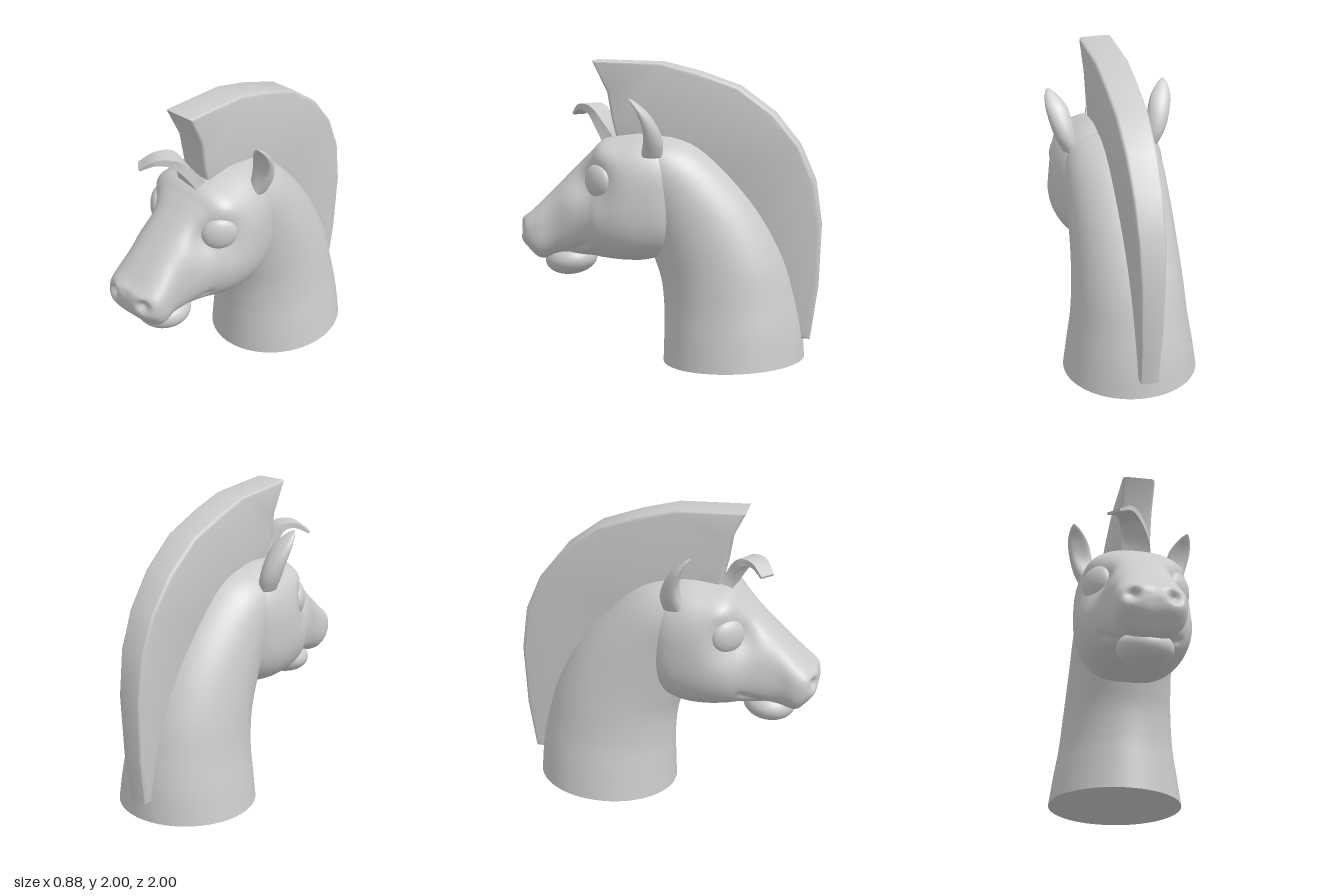
import * as THREE from 'three';
import { toCreasedNormals } from 'three/addons/utils/BufferGeometryUtils.js';

const material = new THREE.MeshStandardMaterial({ color: 0xcccccc, roughness: 0.8 });
const V = (x, y, z) => new THREE.Vector3(x, y, z);

// Catmull-Rom blend of rows of numbers, t in 0..1
function blend(keys, t) {
  const f = t * (keys.length - 1), i = Math.min(Math.floor(f), keys.length - 2), s = f - i;
  const row = (k) => keys[Math.max(0, Math.min(keys.length - 1, k))];
  return keys[i].map((b, c) => {
    const a = row(i - 1)[c], d = row(i + 1)[c], e = row(i + 2)[c];
    return b + 0.5 * s * (d - a + s * (2 * a - 5 * b + 4 * d - e + s * (3 * (b - d) + e - a)));
  });
}

// Closed skin over rings; point(t, angle) turns counter-clockwise about the path
function loft(rings, sides, point, crease = 0.9) {
  const pos = [], index = [];
  for (let i = 0; i <= rings; i++) {
    for (let j = 0; j < sides; j++) pos.push(...point(i / rings, (j / sides) * Math.PI * 2).toArray());
  }
  for (let i = 0; i < rings; i++) {
    for (let j = 0; j < sides; j++) {
      const a = i * sides + j, b = i * sides + (j + 1) % sides;
      index.push(a, b, a + sides, b, b + sides, a + sides);
    }
  }
  // end caps
  for (const end of [0, rings]) {
    const mid = V(0, 0, 0), c = pos.length / 3;
    for (let j = 0; j < sides; j++) {
      const k = (end * sides + j) * 3;
      mid.add(V(pos[k], pos[k + 1], pos[k + 2]));
    }
    pos.push(...mid.divideScalar(sides).toArray());
    for (let j = 0; j < sides; j++) {
      const a = end * sides + j, b = end * sides + (j + 1) % sides;
      if (end) index.push(c, a, b);
      else index.push(c, b, a);
    }
  }
  const geo = new THREE.BufferGeometry();
  geo.setAttribute('position', new THREE.Float32BufferAttribute(pos, 3));
  geo.setIndex(index);
  geo.computeVertexNormals();
  return toCreasedNormals(geo, crease);
}

// Neck rings: front z, front y, back z, back y, half width
const NECK = [
  [0.05, 0, -0.89, 0.045, 0.44], [0.045, 0.2, -0.872, 0.25, 0.41],
  [0.045, 0.36, -0.83, 0.46, 0.38], [0.065, 0.55, -0.755, 0.72, 0.36],
  [0.12, 0.72, -0.61, 1.0, 0.345], [0.2, 0.95, -0.42, 1.24, 0.335],
  [0.27, 1.15, -0.2, 1.44, 0.32], [0.3, 1.3, 0, 1.515, 0.26], [0.28, 1.4, 0.15, 1.5, 0.08],
];
function neckGeometry() {
  return loft(48, 64, (t, a) => {
    const [fz, fy, bz, by, w] = blend(NECK, t), c = Math.cos(a);
    return V(w * Math.sin(a), (fy + by) / 2 + c * (fy - by) / 2, (fz + bz) / 2 + c * (fz - bz) / 2);
  });
}

// Head sections: z, top y, bottom y, half width
const HEAD = [
  [-0.1, 1.3, 0.95, 0.12], [-0.06, 1.43, 0.82, 0.27], [0.02, 1.505, 0.73, 0.34],
  [0.15, 1.53, 0.685, 0.375], [0.3, 1.515, 0.68, 0.385], [0.43, 1.49, 0.69, 0.36],
  [0.51, 1.42, 0.7, 0.315], [0.6, 1.33, 0.7, 0.27], [0.75, 1.18, 0.69, 0.222],
  [0.87, 1.06, 0.67, 0.225], [0.94, 0.99, 0.73, 0.205], [0.985, 0.955, 0.79, 0.15],
  [1.0, 0.92, 0.85, 0.06],
];
function headGeometry() {
  const bell = (d, r) => Math.exp(-(d * d) / (r * r));
  const mouth = new THREE.Line3(V(0, 0.69, 0.76), V(0, 0.81, 0.53));
  const near = V(0, 0, 0);
  return loft(110, 112, (t, a) => {
    const [z, top, bottom, w] = blend(HEAD, t);
    const power = (v) => Math.sign(v) * Math.pow(Math.abs(v), 0.76);
    const side = power(Math.cos(a));
    const p = V(w * side, (top + bottom) / 2 + power(Math.sin(a)) * (top - bottom) / 2, z);
    // eye socket, brow and mouth corner
    const flat = V(0, p.y, p.z);
    mouth.closestPointToPoint(flat, true, near);
    p.x -= side * (0.09 * bell(Math.hypot(p.y - 1.22, z - 0.5), 0.14)
      - 0.025 * bell(Math.hypot(p.y - 1.42, z - 0.4), 0.09)
      + 0.022 * bell(near.distanceTo(flat), 0.025));
    // nostril with raised rim
    const d = Math.hypot(Math.abs(p.x) - 0.13, p.y - 0.885, (z - 0.96) * 0.7);
    const push = 0.065 * bell(d, 0.042) - 0.02 * bell(d, 0.09);
    p.z -= push;
    p.x -= side * push * 0.4;
    return p;
  }, 1.2);
}

// Ear rings: x, y, z, radius across, radius deep
const EAR = [
  [0.27, 1.39, 0.09, 0.055, 0.07], [0.3, 1.48, 0.085, 0.068, 0.078], [0.325, 1.58, 0.1, 0.074, 0.066],
  [0.35, 1.68, 0.14, 0.068, 0.044], [0.375, 1.75, 0.19, 0.034, 0.02], [0.387, 1.775, 0.215, 0.005, 0.004],
];
function earGeometry(side) {
  return loft(28, 32, (t, a) => {
    const [x, y, z, rx, rz] = blend(EAR, t), c = Math.cos(a), s = Math.sin(a);
    // shallow cup on the front
    const cup = c > 0 ? 1 - 0.6 * c * Math.sin(Math.PI * t) : 1;
    return V(side * x + rx * s, y, z + rz * c * cup);
  }, 1.3);
}

// Forelock: a flat strip that twists and tapers towards its tip
function forelockGeometry() {
  const path = new THREE.CatmullRomCurve3([
    V(0.0, 1.43, 0.38), V(-0.005, 1.56, 0.44), V(-0.055, 1.665, 0.515),
    V(-0.115, 1.68, 0.6), V(-0.195, 1.625, 0.67),
  ]);
  return loft(24, 4, (t, a) => {
    const k = Math.min(1, t * 1.6);
    const across = V(1 - 0.3 * k, 0, 0.65 * k).normalize();
    const out = across.clone().cross(path.getTangent(t)).normalize();
    const q = a + Math.PI / 4;
    return path.getPoint(t)
      .addScaledVector(out, Math.sign(Math.cos(q)) * (0.045 - 0.037 * t))
      .addScaledVector(across, Math.sign(Math.sin(q)) * (0.095 - 0.045 * t));
  }, 0.6);
}

// Mane: side outline (z, y) extruded across, narrowing downwards
function maneGeometry() {
  const outline = [
    [0.49, 1.98], [0.06, 1.965], [-0.18, 1.905], [-0.44, 1.815], [-0.665, 1.65], [-0.83, 1.445],
    [-0.93, 1.215], [-0.97, 0.93], [-0.955, 0.52], [-0.91, 0.2], [-0.87, 0.2], [-0.79, 0.45],
    [-0.55, 0.98], [-0.28, 1.27], [0, 1.42], [0.32, 1.44], [0.365, 1.62], [0.395, 1.8],
  ].map(([z, y]) => new THREE.Vector2(z, y));
  const geo = new THREE.ExtrudeGeometry(new THREE.Shape(outline), {
    depth: 1.6, bevelSize: 0.02, bevelThickness: 0.2, bevelSegments: 3,
  });
  geo.translate(0, 0, -0.8).rotateY(-Math.PI / 2);
  const pos = geo.attributes.position;
  for (let i = 0; i < pos.count; i++) pos.setX(i, pos.getX(i) * (0.055 + 0.0275 * pos.getY(i)));
  return toCreasedNormals(geo, 0.6);
}

export function createModel() {
  const group = new THREE.Group();
  const add = (name, geo) => {
    const mesh = new THREE.Mesh(geo, material);
    mesh.name = name;
    group.add(mesh);
    return mesh;
  };

  add('neck', neckGeometry());
  add('head', headGeometry());
  add('mane', maneGeometry());
  add('forelock', forelockGeometry());

  // Lower lip and chin
  const chin = add('chin', new THREE.SphereGeometry(1, 40, 28));
  chin.scale.set(0.18, 0.11, 0.175);
  chin.position.set(0, 0.667, 0.685);
  chin.rotation.x = 0.12;

  for (const [label, side] of [['left', 1], ['right', -1]]) {
    add(label + 'Ear', earGeometry(side));
    const eye = add(label + 'Eye', new THREE.SphereGeometry(1, 36, 24));
    eye.scale.set(0.115, 0.11, 0.055);
    eye.position.set(side * 0.268, 1.228, 0.44);
    eye.rotation.y = side * 0.9;
  }
  return group;
}
